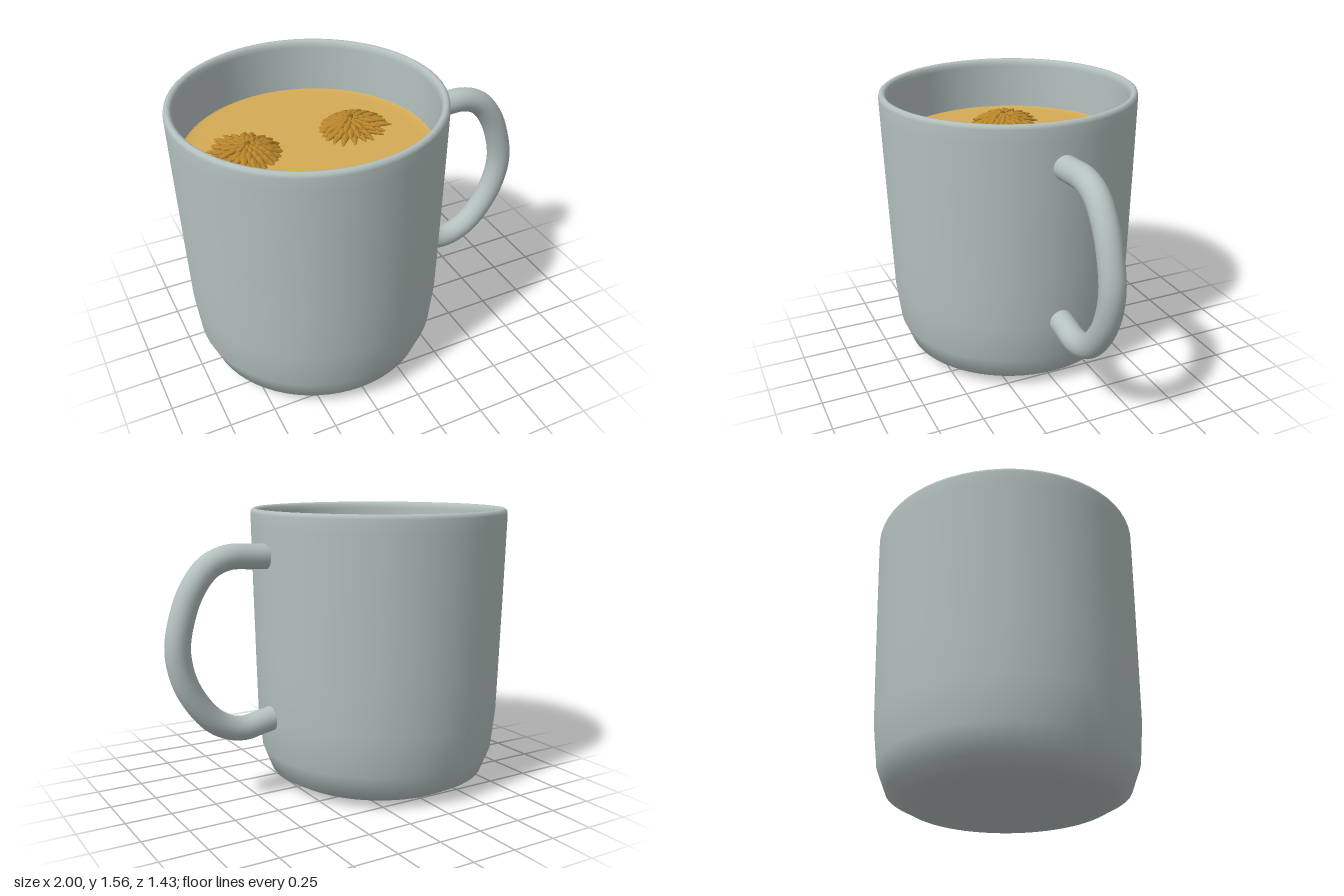
import * as THREE from 'three';
import { mergeGeometries } from 'three/addons/utils/BufferGeometryUtils.js';

const CUP_X = -0.283, LEVEL = 1.25;
const mat = (name, color) => {
  const m = new THREE.MeshStandardMaterial({ color });
  m.name = name;
  return m;
};
const lathe = (pts, n) => new THREE.LatheGeometry(pts.map(p => new THREE.Vector2(...p)), n);

// One plump pointed petal along +x; curl bends its tip downwards
function petal(length, width, curl) {
  const g = new THREE.SphereGeometry(1, 8, 9).rotateZ(-Math.PI / 2);
  const p = g.attributes.position;
  for (let i = 0; i < p.count; i++) {
    const t = (p.getX(i) + 1) / 2;
    const taper = t > 0.5 ? 1 - 0.45 * (t - 0.5) * 2 : 1;
    p.setXYZ(i,
      t * length * (1 - 0.25 * curl * t),
      p.getY(i) * width * 0.7 * taper + length * (0.25 * t - curl * 0.6 * t * t),
      p.getZ(i) * width * taper);
  }
  g.computeVertexNormals();
  return g;
}

// Rings of petals stacked into a low dome; petals droop on the side of droopAngle
function flowerGeometry(seed, droopAngle) {
  let s = seed;
  const rnd = () => (s = (s * 16807) % 2147483647) / 2147483647;
  const parts = [];
  // count, start radius, end radius, height, width
  const rings = [
    [23, 0.06, 0.225, 0.005, 0.022],
    [20, 0.05, 0.19, 0.025, 0.021],
    [17, 0.035, 0.15, 0.04, 0.019],
    [13, 0.02, 0.105, 0.052, 0.015],
    [9, 0.008, 0.06, 0.06, 0.011],
  ];
  rings.forEach(([count, r0, r1, y, w], k) => {
    for (let i = 0; i < count; i++) {
      const a = (i + 0.5 * (k % 2) + 0.3 * (rnd() - 0.5)) / count * Math.PI * 2;
      const droop = 0.5 + 0.5 * Math.cos(a - droopAngle);
      const g = petal((r1 - r0) * (0.92 + 0.16 * rnd()), w, 0.25 + 0.55 * droop);
      g.translate(r0, y + 0.008 * rnd(), 0).rotateY(-a);
      parts.push(g);
    }
  });
  return mergeGeometries(parts);
}

export function createModel() {
  const model = new THREE.Group();
  const ceramic = mat('grey ceramic', 0xb4c1bf);
  const tea = mat('amber tea', 0xd4aa55);
  const petals = mat('golden petals', 0xb9852b);
  const heart = mat('brown flower heart', 0x8a6424);
  const add = (name, geometry, material, x = 0, y = 0, z = 0, parent = model) => {
    const m = new THREE.Mesh(geometry, material);
    m.name = name;
    m.position.set(x, y, z);
    parent.add(m);
    return m;
  };

  // Mug wall: up the outside, over the rounded rim, down the inside
  add('mugBody', lathe([
    [0, 0], [0.41, 0.004], [0.53, 0.02], [0.62, 0.07], [0.67, 0.2], [0.693, 0.42],
    [0.7, 0.7], [0.709, 1.1], [0.716, 1.46], [0.717, 1.535], [0.712, 1.552],
    [0.7, 1.56], [0.686, 1.557], [0.676, 1.545], [0.671, 1.52], [0.668, 1.25],
    [0.655, 0.5], [0.6, 0.16], [0.45, 0.08], [0, 0.07],
  ], 64), ceramic, CUP_X);

  // Handle loop, its ends sunk into the wall
  const path = new THREE.CatmullRomCurve3([
    [0.4, 1.32], [0.5, 1.325], [0.64, 1.328], [0.75, 1.285], [0.84, 1.18], [0.9, 1.04],
    [0.932, 0.87], [0.905, 0.71], [0.84, 0.58], [0.74, 0.465], [0.64, 0.413],
    [0.56, 0.403], [0.48, 0.418], [0.39, 0.435],
  ].map(([x, y]) => new THREE.Vector3(x, y, 0)));
  add('handle', new THREE.TubeGeometry(path, 64, 0.067, 20), ceramic);

  // Tea surface, rising slightly where it meets the wall
  const surface = lathe([[0.668, 1.262], [0.655, 1.256], [0.6, 1.253], [0.35, 1.25], [0, LEVEL]], 64);
  add('tea', surface, tea, CUP_X);

  // Two floating blossoms
  [[-0.585, -0.09, 11, 0.8], [0.01, -0.115, 47, 4.0]].forEach(([x, z, seed, droop], i) => {
    const flower = new THREE.Group();
    flower.name = 'flower' + (i + 1);
    flower.position.set(x, LEVEL, z);
    add('petals', flowerGeometry(seed, droop), petals, 0, 0, 0, flower);
    add('heart', new THREE.SphereGeometry(0.02, 12, 8), heart, 0, 0.06, 0, flower);
    model.add(flower);
  });
  return model;
}
